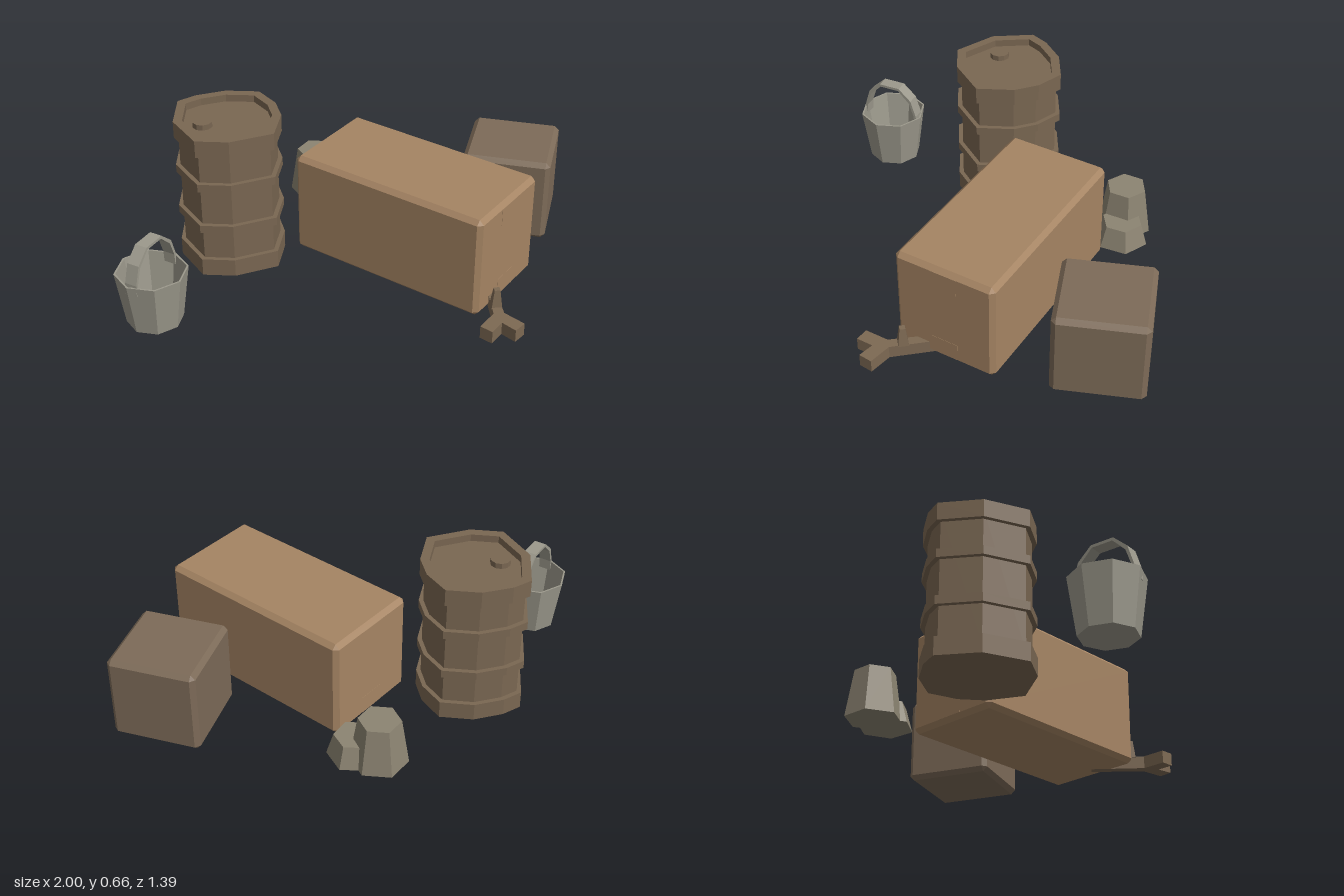
import * as THREE from 'three';
import { ConvexGeometry } from 'three/addons/geometries/ConvexGeometry.js';

const paint = (color) => new THREE.MeshStandardMaterial({ color, flatShading: true, side: THREE.DoubleSide });
const cardboard = paint(0xa58463), darkCard = paint(0x7d6b58), rust = paint(0x7a6752);
const metal = paint(0x9c998c), clay = paint(0x8c8472), wood = paint(0x7d6953);

function add(parent, name, geometry, material, x = 0, y = 0, z = 0) {
  const mesh = new THREE.Mesh(geometry, material);
  mesh.name = name;
  mesh.position.set(x, y, z);
  parent.add(mesh);
  return mesh;
}

function addGroup(parent, name, x, z, angle = 0) {
  const group = new THREE.Group();
  group.name = name;
  group.position.set(x, 0, z);
  group.rotation.y = angle;
  parent.add(group);
  return group;
}

// Box with every edge cut by c, standing on y = 0
function chamferedBox(w, h, d, c) {
  const points = [];
  for (const sx of [-1, 1]) for (const sy of [-1, 1]) for (const sz of [-1, 1]) {
    for (let axis = 0; axis < 3; axis++) {
      const cut = [c, c, c];
      cut[axis] = 0;
      points.push(new THREE.Vector3(sx * (w / 2 - cut[0]), h / 2 + sy * (h / 2 - cut[1]), sz * (d / 2 - cut[2])));
    }
  }
  return new ConvexGeometry(points);
}

// Upright prism from a plan outline of [x, z] pairs
function prism(outline, y0, y1, hole) {
  const toPoints = (list) => list.map(([x, z]) => new THREE.Vector2(x, -z));
  const shape = new THREE.Shape(toPoints(outline));
  if (hole) shape.holes.push(new THREE.Path(toPoints(hole)));
  return new THREE.ExtrudeGeometry(shape, { depth: y1 - y0, bevelEnabled: false })
    .rotateX(-Math.PI / 2).translate(0, y0, 0);
}

// Flat strip of width w following [u, y] points
function strip(path, w, t) {
  const outer = path.map(([u, y]) => new THREE.Vector2(u, y));
  const inner = path.map(([u, y]) => new THREE.Vector2(u * (1 - t / 0.14), y - (y > 0.3 ? t : 0))).reverse();
  return new THREE.ExtrudeGeometry(new THREE.Shape([...outer, ...inner]), { depth: w, bevelEnabled: false })
    .translate(0, 0, -w / 2);
}

export function createModel() {
  const model = new THREE.Group();
  model.name = 'yardClutter';

  // Long carton with tape tabs on its short ends
  const carton = addGroup(model, 'largeCarton', 0.27, 0.041, -0.722);
  add(carton, 'cartonBody', chamferedBox(0.93, 0.465, 0.46, 0.02), cardboard);
  for (const side of [-1, 1]) for (const y of [0.06, 0.405]) {
    add(carton, 'tapeTab', new THREE.BoxGeometry(0.004, 0.08, 0.12), cardboard, side * 0.464, y, 0);
  }

  // Small carton
  const small = addGroup(model, 'smallCarton', 0.76, -0.27, -0.34);
  add(small, 'smallCartonBody', chamferedBox(0.387, 0.387, 0.387, 0.02), darkCard);

  // Dented drum: uneven outline, raised hoops, recessed lid and bung
  const drum = addGroup(model, 'drum', -0.51, -0.121);
  const outline = [[-0.228, 0.03], [-0.208, -0.155], [-0.13, -0.2], [0, -0.231], [0.145, -0.208], [0.21, -0.096],
    [0.228, 0.016], [0.188, 0.177], [0, 0.231], [-0.14, 0.208]];
  const scaled = (s) => outline.map(([x, z]) => [x * s, z * s]);
  add(drum, 'drumBody', prism(scaled(0.915), 0.04, 0.63), rust);
  add(drum, 'drumFoot', prism(outline, 0, 0.08), rust);
  for (const y of [0.215, 0.418]) add(drum, 'drumHoop', prism(outline, y, y + 0.037), rust);
  add(drum, 'drumRim', prism(outline, 0.585, 0.662, scaled(0.83)), rust);
  add(drum, 'drumBung', new THREE.CylinderGeometry(0.043, 0.043, 0.025, 10), rust, -0.105, 0.642, 0.02);

  // Open pail with a strip handle
  const pail = addGroup(model, 'pail', -0.85, 0.375);
  const profile = [[0, 0], [0.118, 0], [0.152, 0.24], [0.144, 0.24], [0.112, 0.015], [0, 0.015]];
  add(pail, 'pailBody', new THREE.LatheGeometry(profile.map(([r, y]) => new THREE.Vector2(r, y)), 8, 0.1), metal);
  const handlePath = [[-0.138, 0.2], [-0.135, 0.25], [-0.11, 0.33], [-0.05, 0.385],
    [0.05, 0.385], [0.11, 0.33], [0.135, 0.25], [0.138, 0.2]];
  add(pail, 'pailHandle', strip(handlePath, 0.055, 0.012), metal).rotation.y = 0.96;

  // Two upturned six-sided pots
  add(model, 'tallPot', new THREE.CylinderGeometry(0.09, 0.123, 0.213, 6, 1, false, 0.38), clay, -0.097, 0.1065, -0.583);
  add(model, 'shortPot', new THREE.CylinderGeometry(0.09, 0.12, 0.1, 6, 1, false, 0.44), clay, 0, 0.05, -0.545);

  // Forked stick with a peg
  const stick = addGroup(model, 'forkedStick', 0.55, 0);
  const fork = [[-0.022, 0.57], [-0.015, 0.33], [0.02, 0.33], [0.022, 0.57], [0.09, 0.65],
    [0.045, 0.692], [0, 0.635], [-0.05, 0.692], [-0.092, 0.65]];
  add(stick, 'fork', prism(fork, 0, 0.057), wood);
  add(stick, 'peg', new THREE.CylinderGeometry(0.017, 0.032, 0.085, 4, 1, false, Math.PI / 4), wood, 0, 0.093, 0.51);

  return model;
}
